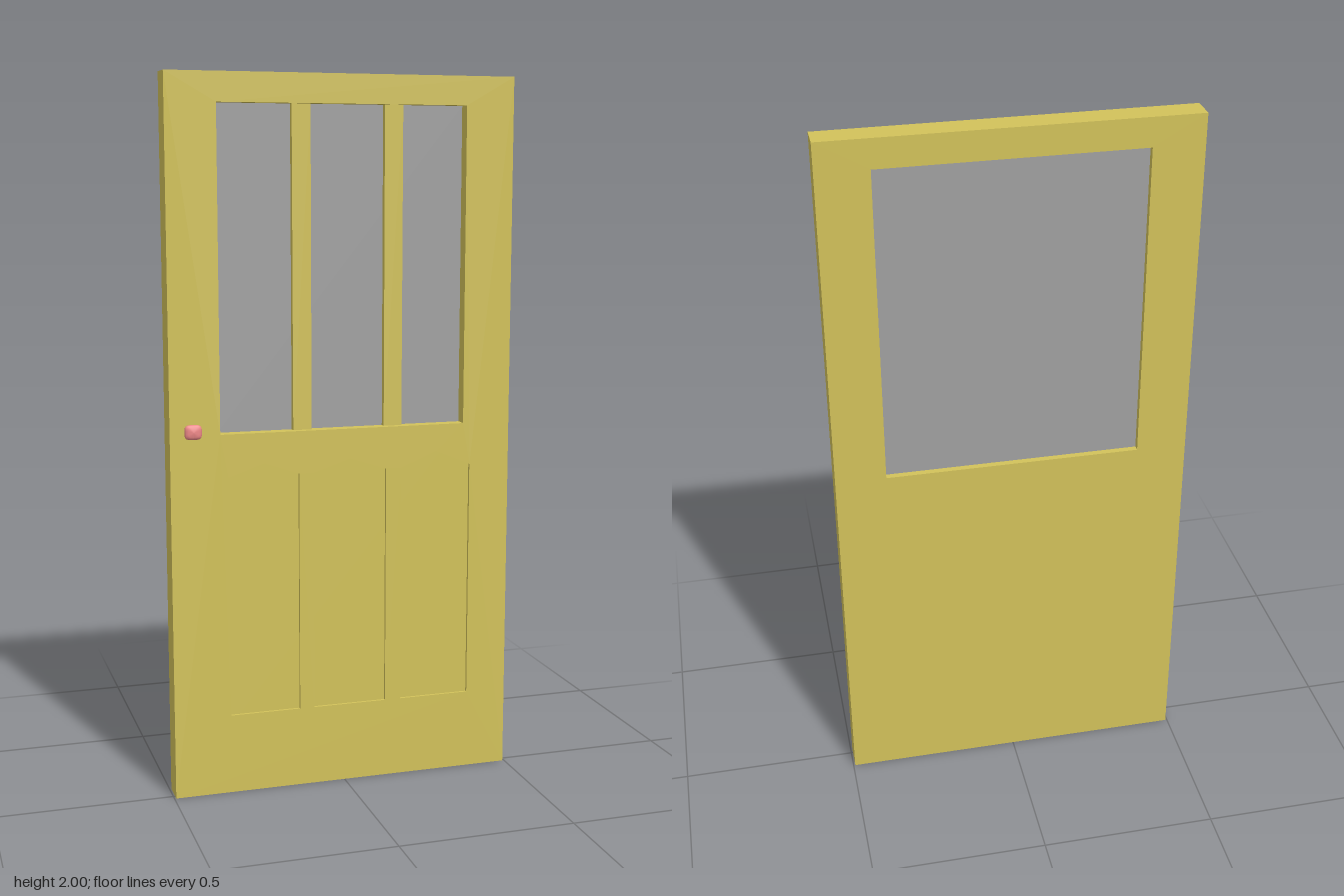
import * as THREE from 'three';

const BACK = -0.057, FRONT = 0.017, RECESS = 0.008;
const WIN = { x0: -0.355, x1: 0.355, y0: 1.03, y1: 1.92 };

const wood = new THREE.MeshStandardMaterial({ color: 0xd2c25a });
const glass = new THREE.MeshStandardMaterial({ color: 0xa0a0a0 });
const knobMat = new THREE.MeshStandardMaterial({ color: 0xee8888 });

const outline = (Type, points) => new Type(points.map(([x, y]) => new THREE.Vector2(x, y)));
const rect = (x0, x1, y0, y1) => [[x0, y0], [x1, y0], [x1, y1], [x0, y1]];

// Flat board with holes, between two depths
function board(name, holes, z0, z1) {
  const shape = outline(THREE.Shape, rect(-0.495, 0.495, 0, 2));
  shape.holes = holes.map((h) => outline(THREE.Path, h));
  const geo = new THREE.ExtrudeGeometry(shape, { depth: z1 - z0, bevelEnabled: false });
  geo.translate(0, 0, z0);
  return named(name, geo, wood);
}

function named(name, geo, material) {
  const mesh = new THREE.Mesh(geo, material);
  mesh.name = name;
  return mesh;
}

function box(name, x0, x1, y0, y1, z0, z1, material) {
  const geo = new THREE.BoxGeometry(x1 - x0, y1 - y0, z1 - z0);
  geo.translate((x0 + x1) / 2, (y0 + y1) / 2, (z0 + z1) / 2);
  return named(name, geo, material);
}

// Knob: turned profile pushed out to a rounded-square section
function makeKnob() {
  const profile = [[0.0165, 0], [0.017, 0.008], [0.021, 0.02], [0.0235, 0.027],
    [0.0235, 0.031], [0.021, 0.036], [0.014, 0.039], [0, 0.04]]
    .map(([r, h]) => new THREE.Vector2(r, h));
  const geo = new THREE.LatheGeometry(profile, 32);
  const p = geo.attributes.position;
  for (let i = 0; i < p.count; i++) {
    const x = p.getX(i), z = p.getZ(i), r = Math.hypot(x, z);
    if (r < 1e-6) continue;
    const k = 1 / Math.pow((x / r) ** 4 + (z / r) ** 4, 0.25);
    p.setX(i, x * k);
    p.setZ(i, z * k * 0.86);
  }
  geo.rotateX(Math.PI / 2);
  geo.computeVertexNormals();
  const knob = named('knob', geo, knobMat);
  knob.position.set(-0.436, 1.045, FRONT);
  return knob;
}

export function createModel() {
  const door = new THREE.Group();
  door.name = 'door';

  // Window opening and the three peaked panels, sunk into the front
  const opening = rect(WIN.x0, WIN.x1, WIN.y0, WIN.y1);
  const panels = [[-0.333, -0.132, 0.945], [-0.09, 0.123, 0.945], [0.169, 0.376, 0.953]]
    .map(([x0, x1, peak]) => [[x0, 0.227], [x1, 0.227], [x1, 0.91], [(x0 + x1) / 2, peak], [x0, 0.91]]);
  door.add(board('doorSlab', [opening], BACK, FRONT - RECESS));
  door.add(board('panelledFace', [opening, ...panels], FRONT - RECESS, FRONT));

  // Window pane with two upright bars on its front
  door.add(box('windowPane', WIN.x0, WIN.x1, WIN.y0, WIN.y1, -0.039, -0.02, glass));
  for (const [x0, x1] of [[-0.143, -0.09], [0.122, 0.175]]) {
    door.add(box('windowBar', x0, x1, WIN.y0, WIN.y1, -0.02, -0.003, wood));
  }

  door.add(makeKnob());
  return door;
}
